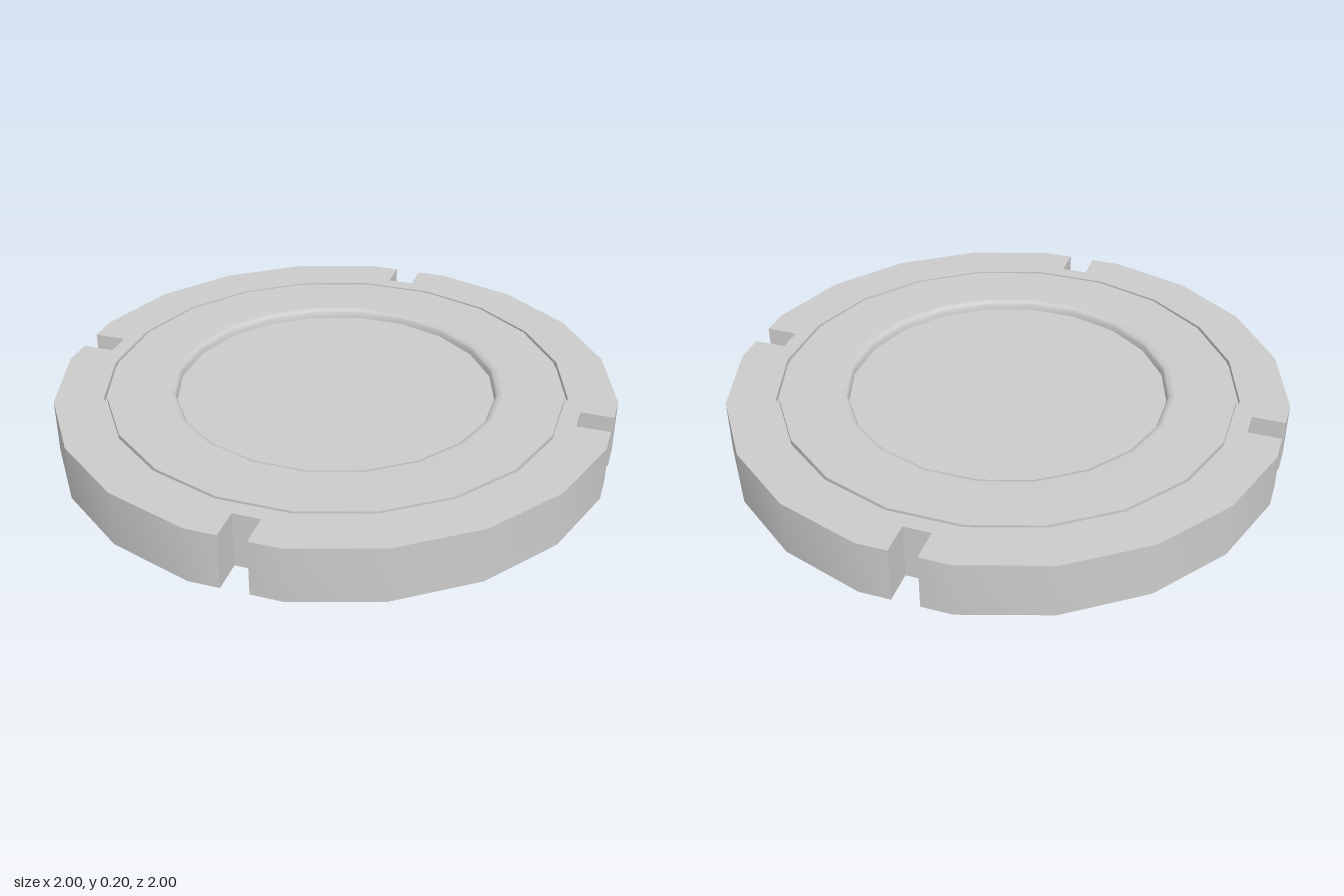
import * as THREE from 'three';
import { toCreasedNormals } from 'three/addons/utils/BufferGeometryUtils.js';

const SIDES = 20;
const OFFSET = THREE.MathUtils.degToRad(-1.7); // slight turn of the whole disc
const STEP = (Math.PI * 2) / SIDES;
const TOP = 0.2, FLOOR = 0.165, GROOVE = 0.18;
const R_GROOVE = 0.826, R_INNER = 0.815, R_RECESS = 0.572;

const polar = (r, a) => new THREE.Vector2(r * Math.cos(a), r * Math.sin(a));

export function createModel() {
  const group = new THREE.Group();
  const material = new THREE.MeshStandardMaterial({ color: 0xcccccc });

  const add = (name, geometry) => {
    const mesh = new THREE.Mesh(geometry, material);
    mesh.name = name;
    group.add(mesh);
  };
  // Turned part from [radius, height] pairs, aligned with the outer polygon
  const turned = (name, profile) => {
    const points = profile.map(([r, y]) => new THREE.Vector2(r, y));
    add(name, new THREE.LatheGeometry(points, SIDES, OFFSET));
  };

  // Outer ring: twenty-sided outline with a square notch in every fifth side
  const outline = [], hole = [];
  for (let i = 0; i < SIDES; i++) {
    const a = OFFSET + i * STEP;
    outline.push(polar(1, a));
    hole.push(polar(R_GROOVE, a));
    if (i % 5 === 1) {
      const mid = a + STEP / 2;
      const edge = Math.cos(STEP / 2);
      for (const [r, t] of [[edge, -0.048], [0.872, -0.048], [0.872, 0.048], [edge, 0.048]]) {
        outline.push(new THREE.Vector2(r, t).rotateAround(new THREE.Vector2(), mid));
      }
    }
  }
  const shape = new THREE.Shape(outline);
  shape.holes.push(new THREE.Path(hole));
  const ring = new THREE.ExtrudeGeometry(shape, { depth: TOP, bevelEnabled: false });
  ring.rotateX(-Math.PI / 2);
  add('notchedRing', toCreasedNormals(ring, Math.PI / 6));

  // Narrow groove between the ring and the raised band
  turned('grooveFloor', [[R_GROOVE, GROOVE], [R_INNER, GROOVE]]);
  turned('grooveWall', [[R_INNER, GROOVE], [R_INNER, TOP]]);

  // Raised band that rolls softly down into the recess
  turned('raisedBand', [
    [R_INNER, TOP], [0.6, TOP], [0.581, 0.194], [R_RECESS + 0.002, 0.183], [R_RECESS, FLOOR],
  ]);

  // Flat recess floor and underside
  turned('recessFloor', [[R_RECESS, FLOOR], [0, FLOOR]]);
  turned('underside', [[0, 0], [R_GROOVE, 0]]);

  return group;
}
